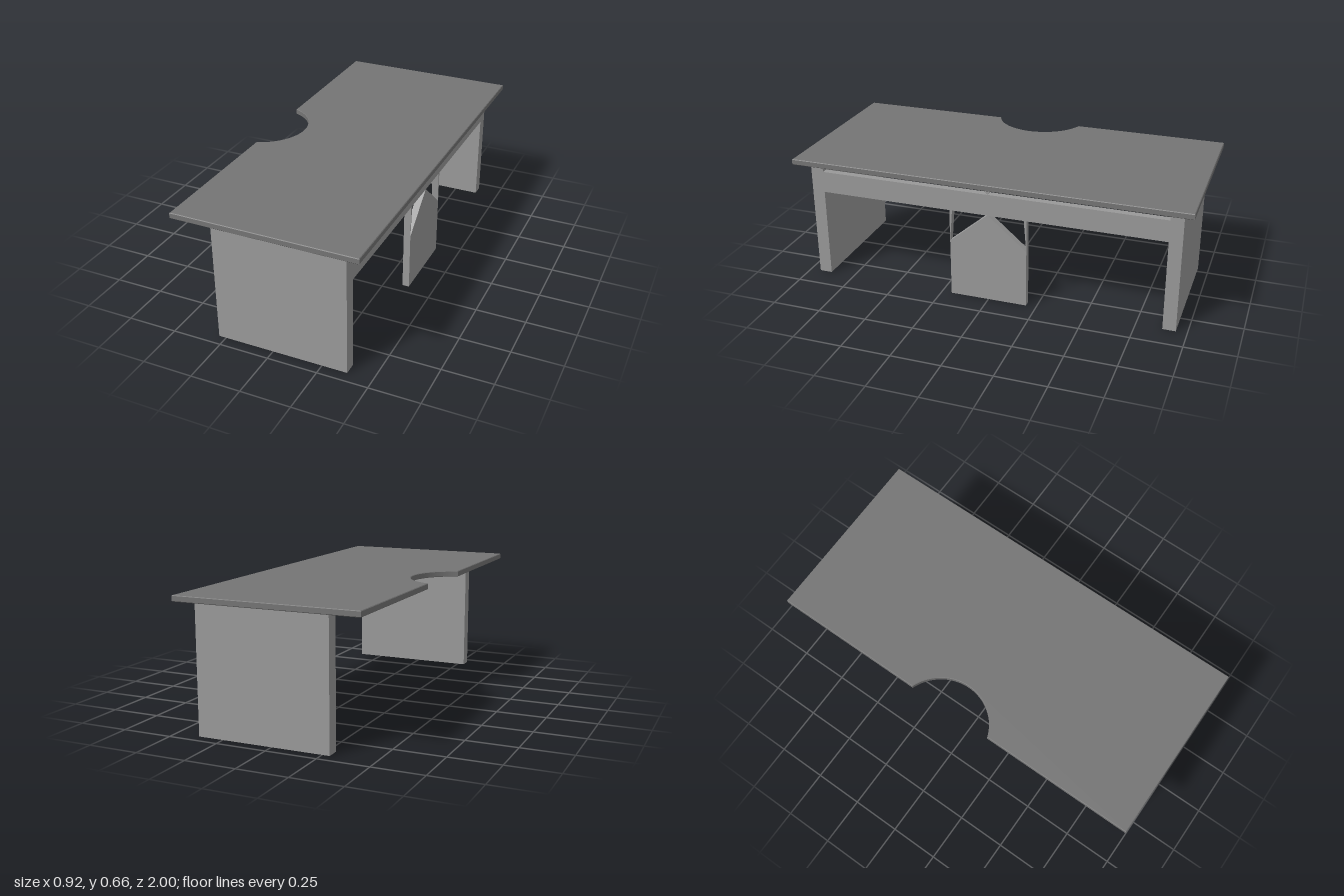
import * as THREE from 'three';

const frameMaterial = new THREE.MeshStandardMaterial({ color: 0x999999, flatShading: true });
const topMaterial = new THREE.MeshStandardMaterial({ color: 0x747474, flatShading: true });
const FACE_X = 0.376; // outer face shared by legs, beam and centre support
const BOARD = 0.035;

function add(group, name, geometry, material = frameMaterial) {
  const mesh = new THREE.Mesh(geometry, material);
  mesh.name = name;
  group.add(mesh);
  return mesh;
}

// Upright board cut from a (z, y) outline, flush with the outer face
function board(points) {
  const shape = new THREE.Shape(points.map(([z, y]) => new THREE.Vector2(z, y)));
  return new THREE.ExtrudeGeometry(shape, { depth: BOARD, bevelEnabled: false })
    .rotateY(-Math.PI / 2)
    .translate(FACE_X, 0, 0);
}

export function createModel() {
  const group = new THREE.Group();
  group.name = 'desk';

  // Table top with a round bite out of one long edge
  const hx = 0.459, cx = -0.537, r = 0.234;
  const a = Math.acos((-hx - cx) / r);
  const top = new THREE.Shape();
  top.moveTo(-hx, -1);
  top.lineTo(hx, -1);
  top.lineTo(hx, 1);
  top.lineTo(-hx, 1);
  top.lineTo(-hx, r * Math.sin(a));
  top.absarc(cx, 0, r, a, -a, true);
  top.closePath();
  const bevel = 0.003;
  add(group, 'tableTop', new THREE.ExtrudeGeometry(top, {
    depth: 0.029 - 2 * bevel, bevelThickness: bevel, bevelSize: bevel,
    bevelOffset: -bevel, bevelSegments: 1, curveSegments: 32,
  }).rotateX(-Math.PI / 2).translate(0, 0.629 + bevel, 0), topMaterial);

  // Slab legs
  for (const s of [1, -1]) {
    add(group, s > 0 ? 'frontLeg' : 'backLeg', new THREE.BoxGeometry(0.663, 0.629, 0.065))
      .position.set(FACE_X - 0.3315, 0.3145, s * 0.9125);
  }

  // Beam between the legs
  add(group, 'beam', new THREE.BoxGeometry(BOARD, 0.11, 1.76))
    .position.set(FACE_X - BOARD / 2, 0.518, 0);

  // Pointed centre support
  add(group, 'centreSupport', board([[-0.198, 0], [0.198, 0], [0.198, 0.297], [0, 0.465], [-0.198, 0.297]]));

  // Tapered props beside the support's point
  for (const s of [1, -1]) {
    add(group, s > 0 ? 'frontProp' : 'backProp',
      board([[s * 0.198, 0.293], [s * 0.198, 0.464], [s * 0.184, 0.464]]));
  }

  // Small V brace between beam and top
  add(group, 'vBrace', board([[0, 0.571], [0.04, 0.63], [0.027, 0.63], [0, 0.59], [-0.027, 0.63], [-0.04, 0.63]]));

  return group;
}
